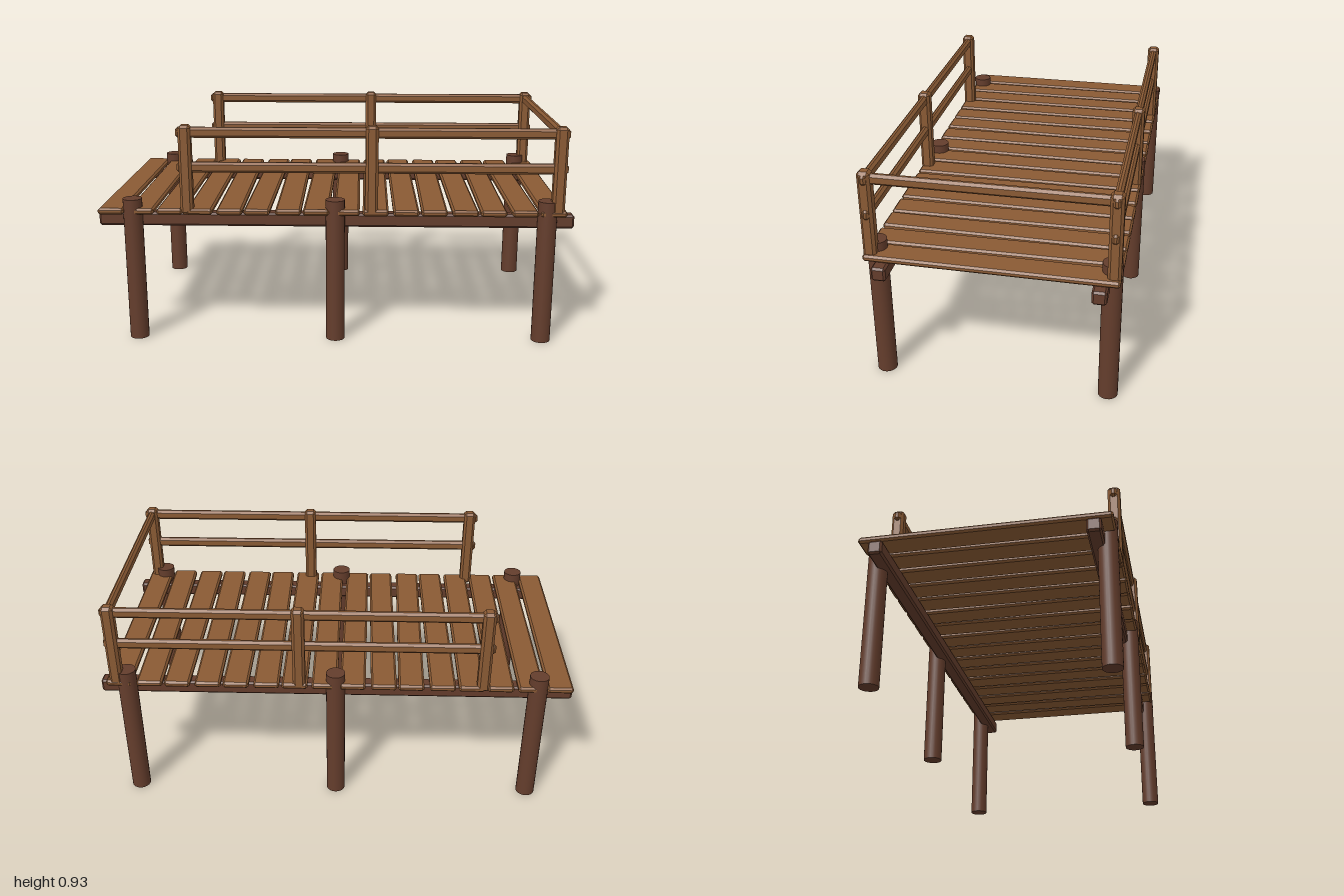
import * as THREE from 'three';
import { ConvexGeometry } from 'three/addons/geometries/ConvexGeometry.js';

const lightWood = new THREE.MeshStandardMaterial({ color: 0x8a5a34 });
lightWood.name = 'lightWood';
const darkWood = new THREE.MeshStandardMaterial({ color: 0x643d2c });
darkWood.name = 'darkWood';

// Box with a single flat chamfer on every edge
function chamferBox(w, h, d, c) {
  const pts = [];
  for (const sx of [-1, 1]) for (const sy of [-1, 1]) for (const sz of [-1, 1]) {
    const x = w / 2, y = h / 2, z = d / 2;
    pts.push(new THREE.Vector3(sx * x, sy * (y - c), sz * (z - c)));
    pts.push(new THREE.Vector3(sx * (x - c), sy * y, sz * (z - c)));
    pts.push(new THREE.Vector3(sx * (x - c), sy * (y - c), sz * z));
  }
  return new ConvexGeometry(pts);
}

export function createModel() {
  const group = new THREE.Group();
  group.name = 'pier';

  const add = (name, geometry, material, x, y, z) => {
    const mesh = new THREE.Mesh(geometry, material);
    mesh.name = name;
    mesh.position.set(x, y, z);
    group.add(mesh);
    return mesh;
  };

  // Deck planks, each laid very slightly askew
  const plank = chamferBox(0.108, 0.027, 0.995, 0.008);
  const skew = [0, 4, 0, 3, 6, -6, 5, -5, 2, -2, 4, -4, 3, -5, 4, -4];
  skew.forEach((s, i) => {
    add('plank', plank, lightWood, -0.937 + i * 0.123, 0.567, 0).rotation.y = s * 0.0015;
  });

  const pile = new THREE.CylinderGeometry(0.04, 0.04, 0.617, 24);
  const beam = chamferBox(1.995, 0.058, 0.058, 0.008);
  const post = chamferBox(0.052, 0.376, 0.052, 0.011);
  const rail = chamferBox(1.61, 0.044, 0.03, 0.01);

  for (const side of [-1, 1]) {
    // Supports
    for (const x of [-0.85, 0, 0.882]) add('pile', pile, darkWood, x, 0.3085, side * 0.46);
    add('beam', beam, darkWood, 0, 0.524, side * 0.424);

    // Side railing
    for (const x of [-0.617, 0.152, 0.921]) add('railPost', post, lightWood, x, 0.743, side * 0.471);
    for (const y of [0.9, 0.754]) add('sideRail', rail, lightWood, 0.15, y, side * 0.47);
  }

  // Single rail across the far end
  add('endRail', chamferBox(0.03, 0.044, 0.985, 0.01), lightWood, 0.922, 0.899, 0);

  return group;
}
